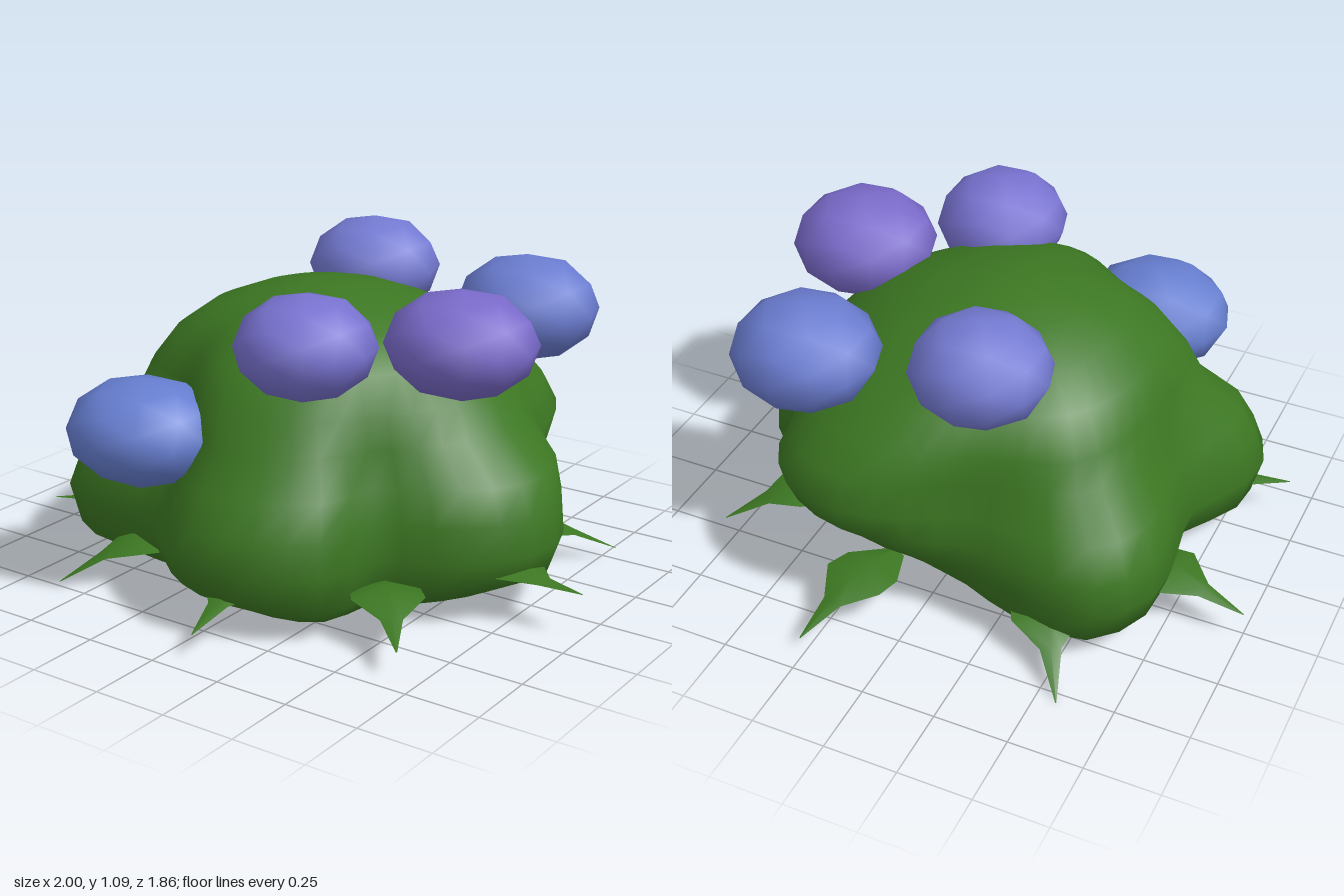
import * as THREE from 'three';
import { mergeVertices } from 'three/addons/utils/BufferGeometryUtils.js';

const material = (color, extra = {}) => new THREE.MeshStandardMaterial({ color, ...extra });

// Widest outline of the bush: radius every 15 degrees, from +x towards +z
const OUTLINE = [
  0.84, 0.79, 0.70, 0.61, 0.75, 0.81, 0.81, 0.74, 0.69, 0.79, 0.93, 0.88,
  0.73, 0.77, 0.88, 0.88, 0.73, 0.65, 0.71, 0.79, 0.82, 0.76, 0.69, 0.80];

// Rings from the underside to the crown: height, share of outline, round radius,
// then how far the back lobe lifts and scales the ring
const RINGS = [
  [0.08, 0, 0, 0, 1], [0.065, 0.45, 0, 0.04, 0.85], [0.035, 0.78, 0, 0.1, 0.7], [0.11, 0.95, 0, 0.1, 0.7],
  [0.23, 1, 0, 0.08, 0.82], [0.34, 0.97, 0, 0.06, 0.99], [0.45, 0.83, 0.07, 0.04, 1.1],
  [0.57, 0.46, 0.27, 0.02, 1.19], [0.68, 0.25, 0.405, 0, 1.13], [0.79, 0.12, 0.42, 0, 1.08],
  [0.875, 0.06, 0.34, 0, 1], [0.93, 0, 0.24, 0, 1], [0.955, 0, 0.11, 0, 1], [0.96, 0, 0, 0, 1]];

// Outline radius on a half step, smoothed between its neighbours
function outlineAt(j) {
  const at = k => OUTLINE[(k + 24) % 24], i = Math.floor(j / 2);
  return j % 2 ? (9 * (at(i) + at(i + 1)) - at(i - 1) - at(i + 2)) / 16 : at(i);
}

const bell = (v, centre, width) => Math.exp(-(((v - centre) / width) ** 2));

function bushGeometry() {
  const segments = 48, points = [], index = [];
  RINGS.forEach(([y, share, round, lift, scale], i) => {
    const lean = -0.06 * Math.max(0, (y - 0.45) / 0.5);
    for (let j = 0; j < segments; j++) {
      const a = j / segments * Math.PI * 2;
      // The back lobe overhangs: tucked in below, fuller above
      const lobe = bell(a, 5.17, 0.6);
      // Hollow behind the low front blossom
      const hollow = 1 - 0.13 * bell(a, 2.2, 0.38) * bell(y, 0.62, 0.24);
      const bump = 1 + 0.015 * Math.sin(5 * a + 9 * y) * Math.sin(3 * a - 7 * y + 1);
      const r = (share * outlineAt(j) + round) * (1 + (scale - 1) * lobe) * hollow * bump;
      const wave = i > 0 && i < 4 ? 0.02 * Math.sin(4 * a + 1) : 0;
      points.push(Math.cos(a) * r + lean, y + wave + lift * lobe, Math.sin(a) * r);
      if (i < RINGS.length - 1) {
        const p = i * segments + j, q = i * segments + (j + 1) % segments;
        index.push(p, p + segments, q, q, p + segments, q + segments);
      }
    }
  });
  const geometry = new THREE.BufferGeometry();
  geometry.setAttribute('position', new THREE.Float32BufferAttribute(points, 3));
  geometry.setIndex(index);
  const merged = mergeVertices(geometry, 1e-4);
  merged.computeVertexNormals();
  return merged;
}

// Low ball with softened facets
function blossomGeometry() {
  const ball = new THREE.IcosahedronGeometry(1.02, 1);
  ball.deleteAttribute('normal');
  ball.deleteAttribute('uv');
  const merged = mergeVertices(ball, 1e-4);
  merged.computeVertexNormals();
  return merged;
}

// Folded leaf with a thin tail, ending at the tip and pointing away from the centre
function leafGeometry(x, y, z, turn) {
  // distance back from the tip, half width, height
  const sections = [[0.46, 0.03, 0.12], [0.34, 0.11, 0.14], [0.25, 0.115, 0.15], [0.15, 0.035, 0.125], [0, 0.002, y]];
  const a = Math.atan2(z, x) + turn, dx = Math.cos(a), dz = Math.sin(a);
  const points = [], index = [];
  sections.forEach(([back, half, h], i) => {
    const height = i < 4 ? h + (y - 0.09) * (1 - back / 0.46) * 0.6 : h;
    for (const s of [-1, 0, 1]) {
      points.push(x - dx * back - dz * half * s, height + (s ? 0 : half * 0.25), z - dz * back + dx * half * s);
    }
    if (i < 4) for (const k of [0, 1]) {
      const p = i * 3 + k;
      index.push(p, p + 1, p + 3, p + 1, p + 4, p + 3);
    }
  });
  const geometry = new THREE.BufferGeometry();
  geometry.setAttribute('position', new THREE.Float32BufferAttribute(points, 3));
  geometry.setIndex(index);
  geometry.computeVertexNormals();
  return geometry;
}

export function createModel() {
  const model = new THREE.Group();
  model.name = 'floweringBush';

  const bush = new THREE.Mesh(bushGeometry(), material(0x3c7722));
  bush.name = 'bush';
  model.add(bush);

  // Blossoms: centre, radii, colour
  const blossoms = new THREE.Group();
  blossoms.name = 'blossoms';
  const ball = blossomGeometry();
  [
    [[-0.145, 0.92, -0.425], [0.225, 0.168, 0.22], 0x747ad2],
    [[0.44, 0.845, -0.475], [0.24, 0.176, 0.23], 0x6a7cd0],
    [[0.55, 0.88, 0.135], [0.24, 0.168, 0.235], 0x7a6aca],
    [[0.18, 0.885, 0.445], [0.22, 0.164, 0.225], 0x7872d0],
    [[-0.345, 0.555, 0.603], [0.255, 0.172, 0.235], 0x667ed0],
  ].forEach(([centre, radii, color], i) => {
    const blossom = new THREE.Mesh(ball, material(color));
    blossom.name = 'blossom' + (i + 1);
    blossom.position.set(...centre);
    blossom.scale.set(...radii);
    blossoms.add(blossom);
  });
  model.add(blossoms);

  // Ground leaves: tip position and turn off the radial direction
  const leaves = new THREE.Group();
  leaves.name = 'leaves';
  const leafMaterial = material(0x3c7722, { side: THREE.DoubleSide });
  [
    [1, 0.15, 0.13, 0], [0.68, 0.09, 0.69, 0.1], [0.1, 0.085, 0.93, 0],
    [-0.6, 0.02, 0.76, 0], [-0.94, 0.13, 0.4, 0], [-1, 0.1, -0.27, -0.1],
    [-0.57, 0, -0.79, 0.1], [0.26, 0.065, -0.93, 0], [0.8, 0.04, -0.5, -0.1],
  ].forEach((tip, i) => {
    const leaf = new THREE.Mesh(leafGeometry(...tip), leafMaterial);
    leaf.name = 'leaf' + (i + 1);
    leaves.add(leaf);
  });
  model.add(leaves);
  return model;
}
